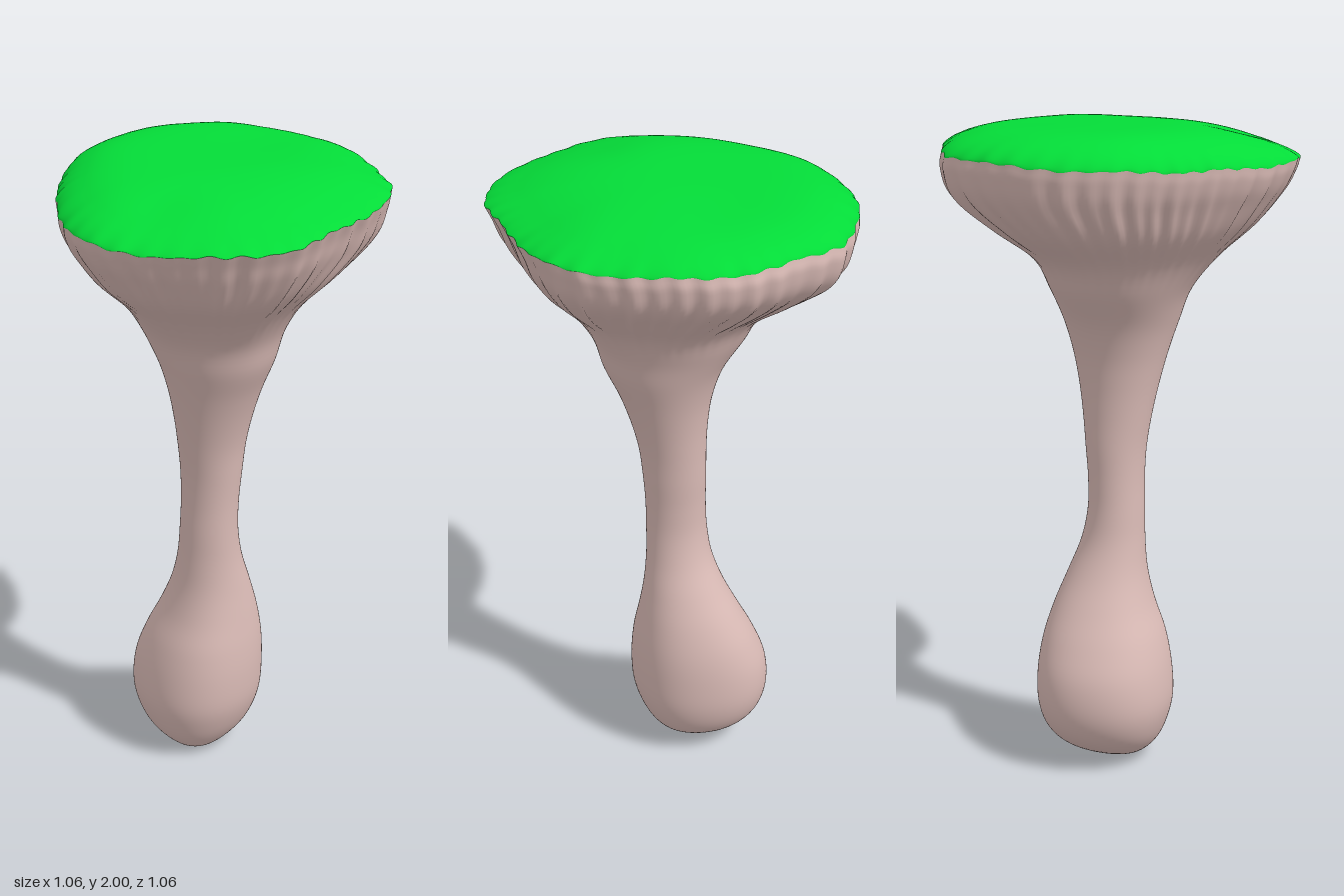
import * as THREE from 'three';

const SEG = 264;
const { lerp, smoothstep } = THREE.MathUtils;

// Stem sections: y, xMin, xMax, zMin, zMax
const SECTIONS = [
  [0.0, -0.035, -0.025, -0.055, -0.045],
  [0.015, -0.1, 0.05, -0.13, 0.015],
  [0.06, -0.15, 0.135, -0.22, 0.06],
  [0.12, -0.18, 0.185, -0.28, 0.095],
  [0.2, -0.197, 0.21, -0.308, 0.12],
  [0.3, -0.19, 0.213, -0.303, 0.126],
  [0.4, -0.167, 0.203, -0.265, 0.12],
  [0.5, -0.13, 0.178, -0.214, 0.105],
  [0.6, -0.105, 0.142, -0.165, 0.09],
  [0.7, -0.095, 0.105, -0.13, 0.08],
  [0.8, -0.092, 0.086, -0.115, 0.078],
  [0.9, -0.09, 0.086, -0.11, 0.08],
  [1.0, -0.095, 0.095, -0.11, 0.088],
  [1.1, -0.11, 0.105, -0.11, 0.1],
  [1.2, -0.13, 0.12, -0.115, 0.125],
  [1.3, -0.155, 0.142, -0.13, 0.16],
  [1.4, -0.187, 0.172, -0.165, 0.205],
  [1.5, -0.228, 0.207, -0.23, 0.238],
  [1.6, -0.305, 0.26, -0.29, 0.308],
  [1.7, -0.41, 0.375, -0.415, 0.408],
  [1.8, -0.482, 0.495, -0.492, 0.472],
  [1.87, -0.514, 0.527, -0.518, 0.5],
  [1.912, -0.525, 0.523, -0.523, 0.52],
];

// Rim radius every 15 degrees, from +x towards +z
const RIM = [0.52, 0.507, 0.51, 0.525, 0.515, 0.5, 0.505, 0.545, 0.557, 0.55, 0.55, 0.547,
  0.518, 0.485, 0.462, 0.46, 0.475, 0.502, 0.525, 0.543, 0.55, 0.56, 0.527, 0.523];

const spline = (points, closed = false) => new THREE.CatmullRomCurve3(points, closed, 'catmullrom', 0.5);
const centres = spline(SECTIONS.map(([y, a, b, c, d]) => new THREE.Vector3((a + b) / 2, y, (c + d) / 2)));
const halves = spline(SECTIONS.map(([, a, b, c, d]) => new THREE.Vector3((b - a) / 2, 0, (d - c) / 2)));
const rimCurve = spline(RIM.map((r) => new THREE.Vector3(r, 0, 0)), true);
const rimRadius = (a) => rimCurve.getPoint(a / (2 * Math.PI)).x / 0.525;

// Irregular flutes running up the flare
const flutes = (a) => 0.6 * Math.sin(43 * a + 1.5 * Math.sin(3 * a)) + 0.4 * Math.sin(29 * a + 2 * Math.cos(2 * a));

// Surface from closed rings; place(a, row) gives a point
function ringSurface(rows, place) {
  const pos = [];
  const index = [];
  for (let i = 0; i <= rows; i++) {
    for (let j = 0; j < SEG; j++) pos.push(...place((j / SEG) * Math.PI * 2, i / rows));
  }
  for (let i = 0; i < rows; i++) {
    for (let j = 0; j < SEG; j++) {
      const k = (j + 1) % SEG;
      const a = i * SEG + j, b = i * SEG + k, c = a + SEG, d = b + SEG;
      index.push(a, c, b, b, c, d);
    }
  }
  const g = new THREE.BufferGeometry();
  g.setAttribute('position', new THREE.Float32BufferAttribute(pos, 3));
  g.setIndex(index);
  g.computeVertexNormals();
  return g;
}

function stemPoint(a, t, fluting = 1) {
  const c = centres.getPoint(t);
  const h = halves.getPoint(t);
  const flare = smoothstep(c.y, 1.4, 1.8);
  const top = smoothstep(c.y, 1.75, 1.912);
  const ripple = fluting * smoothstep(c.y, 1.5, 1.8) * (0.02 - 0.012 * top);
  // The bulb is fuller along one diagonal
  const bulb = 0.035 * (1 - smoothstep(c.y, 0.4, 0.75)) * (Math.sin(2 * a) ** 2 - Math.sin(2 * a));
  const r = lerp(1, rimRadius(a), flare) + ripple * flutes(a) + bulb;
  // The rim tilts down towards -x and wavers a little
  const lift = top * (0.02 * Math.cos(a + 0.2) + 0.003 * Math.sin(9 * a) + 0.004 * fluting * flutes(a + 0.5));
  return [c.x + h.x * r * Math.cos(a), Math.max(0, c.y + lift), c.z + h.z * r * Math.sin(a)];
}

function capPoint(a, t) {
  const s = 1 - t ** 1.6;
  const [x, y, z] = stemPoint(a, 1, s ** 14);
  // The edge rolls out slightly over the stem
  const spread = s + 0.014 * Math.sin(Math.PI * Math.min(1, t * 3));
  const px = x * spread, pz = z * spread;
  // The dome slopes gently at the front and is squarer at the back
  const dome = 1 - s ** (5 + 2.3 * Math.cos(a + 1.2));
  // Shallow hollows in the top
  const dip = 0.014 * Math.exp(-((px + 0.36) ** 2 + (pz - 0.14) ** 2) / 0.015)
    + 0.008 * Math.exp(-((px - 0.3) ** 2 + (pz + 0.08) ** 2) / 0.03);
  return [px, y + (2 - y) * dome - dip * dome, pz];
}

export function createModel() {
  const group = new THREE.Group();
  const add = (name, geometry, color) => {
    const mesh = new THREE.Mesh(geometry, new THREE.MeshStandardMaterial({ color, side: THREE.DoubleSide }));
    mesh.name = name;
    group.add(mesh);
  };
  add('stem', ringSurface(110, stemPoint), 0xdabbb6);
  add('cap', ringSurface(32, capPoint), 0x04dc38);
  return group;
}
